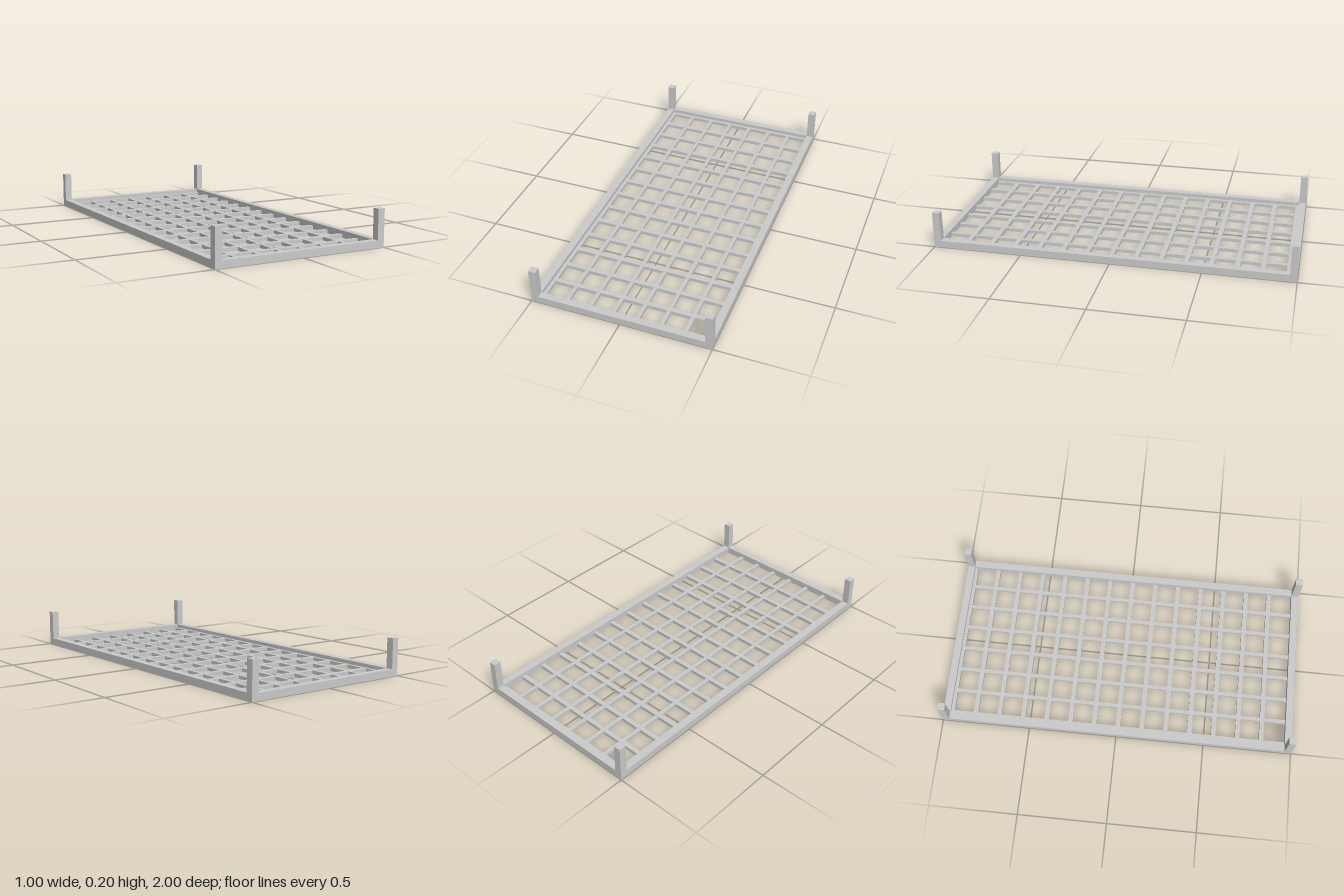
import * as THREE from 'three';

export function createModel() {
  const model = new THREE.Group();
  const material = new THREE.MeshStandardMaterial({ color: 0xcccccc, flatShading: true });

  // Box resting on height y, centred on x and z
  function bar(name, w, h, d, x, y, z) {
    const mesh = new THREE.Mesh(new THREE.BoxGeometry(w, h, d), material);
    mesh.name = name;
    mesh.position.set(x, y + h / 2, z);
    model.add(mesh);
  }

  const T = 0.04; // frame thickness

  // Frame rails and corner posts
  for (const s of [-1, 1]) {
    bar(s > 0 ? 'leftRail' : 'rightRail', T, T, 2, s * (0.5 - T / 2), 0, 0);
    bar(s > 0 ? 'frontRail' : 'backRail', 1 - 2 * T, T, T, 0, 0, s * (1 - T / 2));
    for (const e of [-1, 1]) {
      bar('cornerPost', T, 0.205 - T, T, s * (0.5 - T / 2), T, e * (1 - T / 2));
    }
  }

  // Lengthwise mesh bars, the first one against the right rail
  for (let i = 0; i < 7; i++) {
    bar('longBar', 0.021, 0.019, 1.93, -0.452 + i * 0.132, 0, 0);
  }

  // Crosswise mesh bars, the first one against the back rail
  for (let i = 0; i < 14; i++) {
    bar('crossBar', 0.93, 0.02, 0.026, 0, 0, -0.954 + i * 0.137);
  }

  return model;
}
